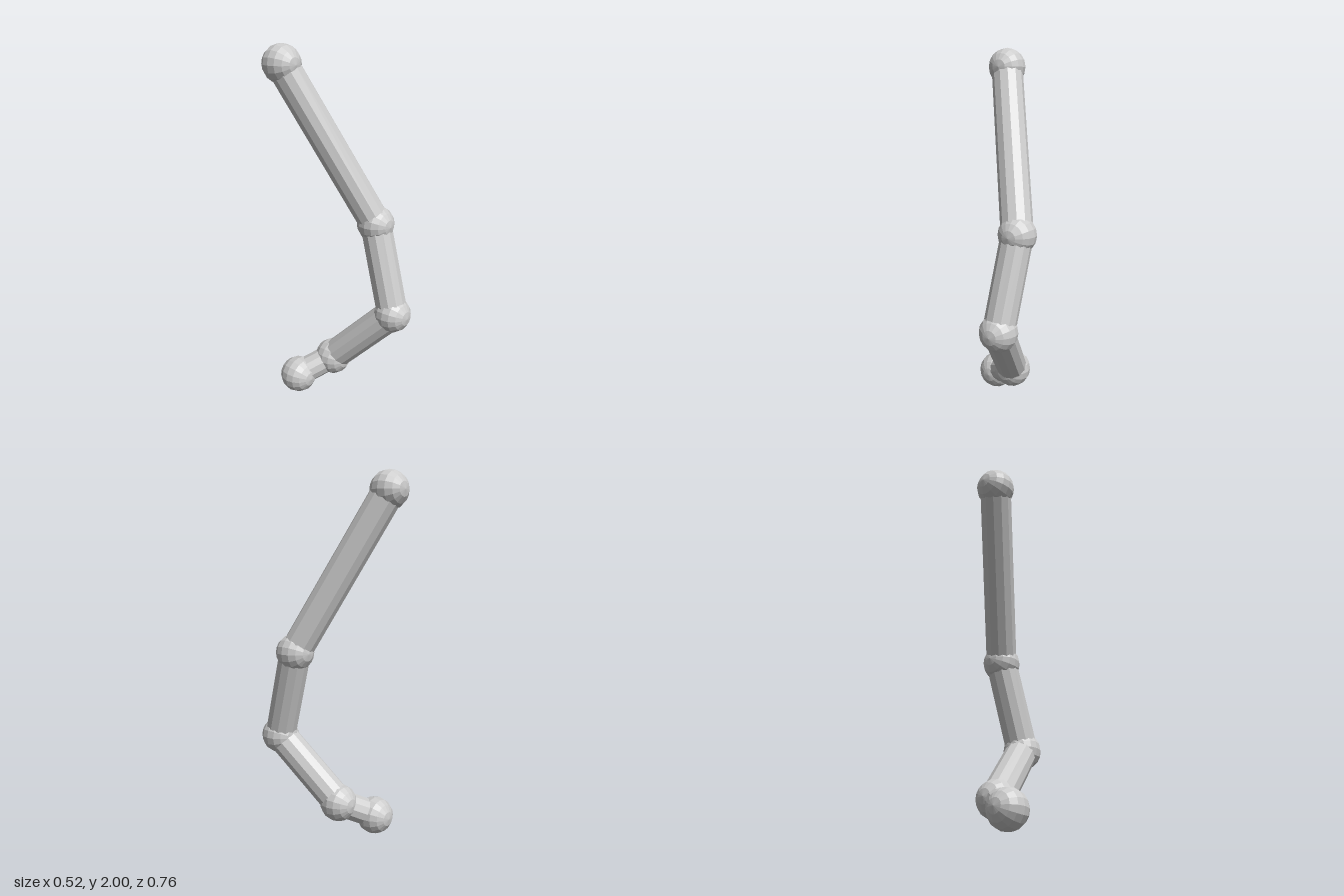
import * as THREE from 'three';

export function createModel() {
  const group = new THREE.Group();
  const material = new THREE.MeshStandardMaterial({ color: 0xcccccc, flatShading: true });

  // Joint centres, from the top of the chain to its foot
  const joints = [
    [-0.138, 1.896, -0.277],
    [0.154, 1.04, 0.126],
    [0.128, 0.547, 0.276],
    [0.017, 0.196, -0.07],
    [-0.155, 0.104, -0.19],
  ].map((p) => new THREE.Vector3(...p));
  const jointNames = ['topJoint', 'upperJoint', 'middleJoint', 'lowerJoint', 'footJoint'];
  const boneNames = ['upperBone', 'middleBone', 'lowerBone', 'footBone'];
  const boneRadii = [0.087, 0.087, 0.087, 0.075];

  // Ball joints, poles facing front and back
  const ball = new THREE.SphereGeometry(0.104, 16, 8).rotateX(Math.PI / 2);
  joints.forEach((p, i) => {
    const mesh = new THREE.Mesh(ball, material);
    mesh.name = jointNames[i];
    mesh.position.copy(p);
    group.add(mesh);
  });

  // Straight bones joining each ball to the next
  const up = new THREE.Vector3(0, 1, 0);
  boneNames.forEach((name, i) => {
    const a = joints[i], b = joints[i + 1];
    const dir = b.clone().sub(a);
    const r = boneRadii[i];
    const mesh = new THREE.Mesh(new THREE.CylinderGeometry(r, r, dir.length(), 12), material);
    mesh.name = name;
    mesh.position.copy(a).add(b).multiplyScalar(0.5);
    mesh.quaternion.setFromUnitVectors(up, dir.normalize().negate());
    group.add(mesh);
  });

  return group;
}
